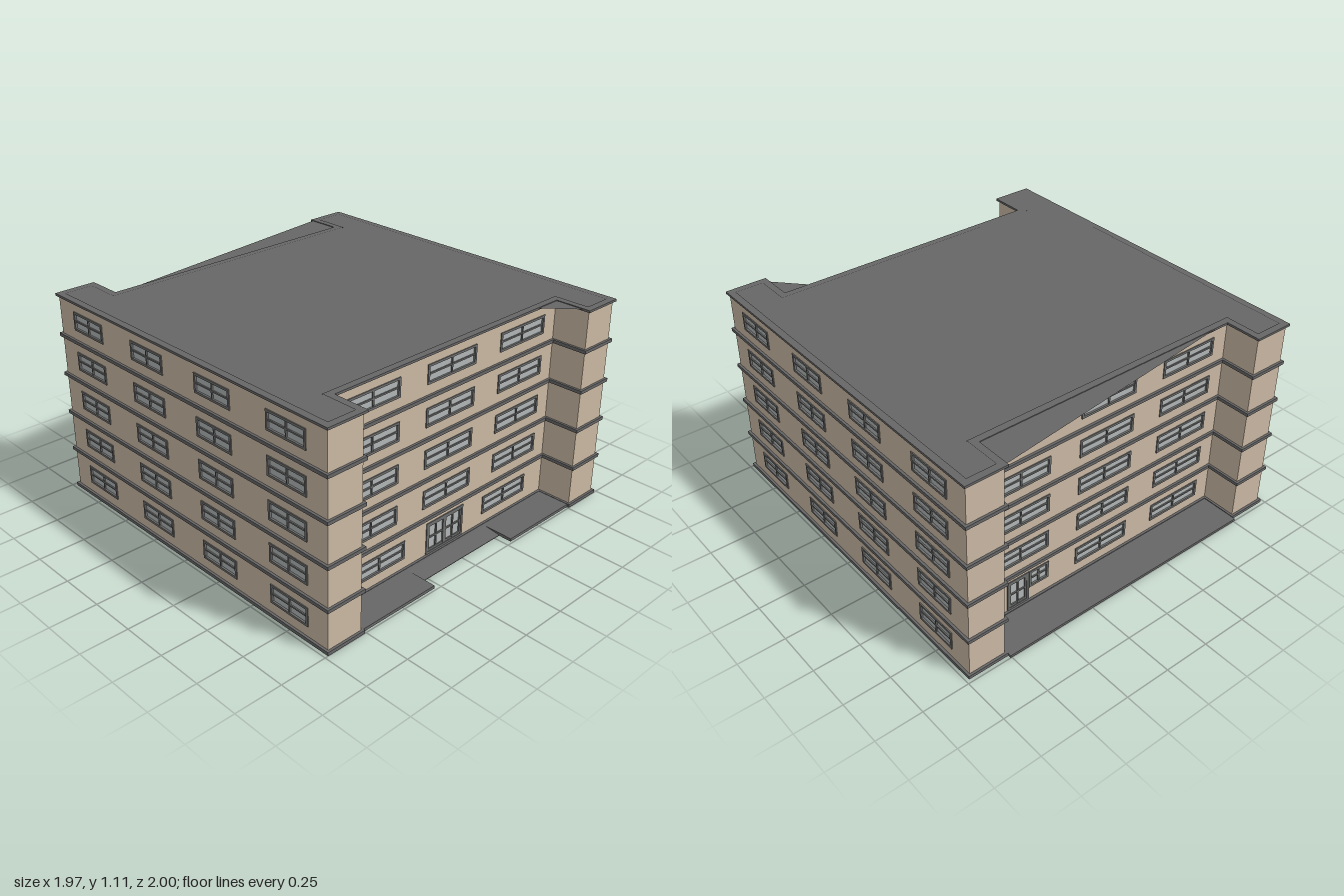
import * as THREE from 'three';

const mat = (color, side = THREE.FrontSide) => new THREE.MeshStandardMaterial({ color, side, flatShading: true });
const wallMat = mat(0xcbb9a4);
const trimMat = mat(0x666666);
const slabMat = mat(0x666666, THREE.DoubleSide);
const frameMat = mat(0x6c6e6c);
const glassMat = mat(0xb2b6b6);

const HEIGHT = 1.105, STOREY = 0.22, THICK = 0.015;

function add(parent, name, geometry, material) {
  const mesh = new THREE.Mesh(geometry, material);
  mesh.name = name;
  parent.add(mesh);
  return mesh;
}

function box(parent, name, material, w, h, d, x, y, z) {
  const mesh = add(parent, name, new THREE.BoxGeometry(w, h, d), material);
  mesh.position.set(x, y, z);
  return mesh;
}

// H-shaped plan, grown outward by d
function plan(d) {
  const X = 0.97 + d, Z = 0.978 + d, x = 0.77 - d, z = 0.782 + d;
  return [[-X, Z], [-x, Z], [-x, z], [x, z], [x, Z], [X, Z],
    [X, -Z], [x, -Z], [x, -z], [-x, -z], [-x, -Z], [-X, -Z]].map(p => new THREE.Vector2(...p));
}

function rectPath(cx, cy, w, h, Type) {
  const p = new Type();
  p.moveTo(cx - w / 2, cy - h / 2);
  p.lineTo(cx + w / 2, cy - h / 2);
  p.lineTo(cx + w / 2, cy + h / 2);
  p.lineTo(cx - w / 2, cy + h / 2);
  p.closePath();
  return p;
}

// Horizontal ring that runs round the plan
function band(parent, name, bottom, height) {
  const shape = new THREE.Shape(plan(0.013));
  shape.holes.push(new THREE.Path(plan(-0.024)));
  const g = new THREE.ExtrudeGeometry(shape, { depth: height, bevelEnabled: false });
  g.rotateX(Math.PI / 2).translate(0, bottom + height, 0);
  add(parent, name, g, trimMat);
}

// Frame, glass and glazing bars, centred on the wall's outer face
function opening(parent, o) {
  const group = new THREE.Group();
  group.name = o.name;
  group.position.set(o.s, o.y, 0);
  const f = 0.012, w = o.w - 2 * f, h = o.h - 2 * f;
  const shape = rectPath(0, 0, o.w, o.h, THREE.Shape);
  shape.holes.push(rectPath(0, 0, w, h, THREE.Path));
  const g = new THREE.ExtrudeGeometry(shape, { depth: THICK + 0.005, bevelEnabled: false });
  add(group, 'frame', g.translate(0, 0, -THICK), frameMat);
  box(group, 'glass', glassMat, w, h, 0.006, 0, 0, -0.008);
  for (let i = 1; i < o.cols; i++) {
    const middle = o.cols === 4 && i === 2;
    box(group, 'uprightBar', frameMat, middle ? 0.022 : 0.008, h, 0.008, w * (i / o.cols - 0.5), 0, -0.002);
  }
  for (let i = 1; i < o.rows; i++) {
    box(group, 'crossBar', frameMat, w, 0.008, 0.007, 0, h * (i / o.rows - 0.5), -0.002);
  }
  if (o.name === 'door') {
    for (const s of [-1, 1]) {
      box(group, 'doorStile', frameMat, 0.01, h, 0.008, s * (w / 2 - 0.005), 0, -0.002);
      box(group, 'doorRail', frameMat, w, 0.012, 0.007, 0, s * (h / 2 - 0.006), -0.002);
    }
  }
  parent.add(group);
}

// Wall from plan point a to b, its outer face to the right of the path
function wall(parent, name, a, b, openings) {
  const length = a.distanceTo(b);
  const group = new THREE.Group();
  group.name = name;
  group.position.set((a.x + b.x) / 2, 0, (a.y + b.y) / 2);
  group.rotation.y = Math.atan2(a.y - b.y, b.x - a.x);
  const shape = rectPath(0, HEIGHT / 2, length, HEIGHT, THREE.Shape);
  for (const o of openings) shape.holes.push(rectPath(o.s, o.y, o.w, o.h, THREE.Path));
  const g = new THREE.ExtrudeGeometry(shape, { depth: THICK, bevelEnabled: false });
  add(group, 'wallPanel', g.translate(0, 0, -THICK), wallMat);
  for (const o of openings) opening(group, o);
  parent.add(group);
}

const win = (s, floor, w) => ({ name: 'window', s, y: 0.123 + STOREY * floor, w, h: 0.1, cols: 2, rows: 2 });
const door = (s, w, cols) => ({ name: 'door', s, y: 0.109, w, h: 0.176, cols, rows: 2 });

export function createModel() {
  const model = new THREE.Group();
  model.name = 'apartmentBuilding';
  const building = new THREE.Group();
  building.name = 'building';
  building.position.z = 0.009;
  model.add(building);

  // Windows and doors of each long wall
  const front = [door(0, 0.266, 4), win(-0.455, 0, 0.337), win(0.455, 0, 0.337)];
  const back = [door(-0.53, 0.13, 2), { ...win(-0.402, 0, 0.12), y: 0.145 },
    win(0, 0, 0.337), win(0.515, 0, 0.337)];
  const sides = [];
  for (let floor = 0; floor < 5; floor++) {
    if (floor > 0) for (const s of [-0.515, 0, 0.515]) {
      front.push(win(s, floor, 0.337));
      back.push(win(s, floor, 0.337));
    }
    for (const s of [-0.729, -0.243, 0.243, 0.729]) sides.push(win(s, floor, 0.247));
  }

  // Walls round the plan
  const corners = plan(0);
  const main = { 2: ['frontWall', front], 5: ['sideWall', sides], 8: ['backWall', back], 11: ['sideWall', sides] };
  corners.forEach((a, i) => {
    const [name, openings] = main[i] || ['wingWall', []];
    wall(building, name, a, corners[(i + 1) % corners.length], openings);
  });

  // Floor bands and roof rim
  for (let i = 0; i < 5; i++) band(building, 'floorBand', STOREY * i + (i ? 0.002 : 0), 0.018);
  band(building, 'roofRim', 1.101, 0.012);

  // Flat roof with its two corner canopies
  const flat = (name, points) => {
    const g = new THREE.ShapeGeometry(new THREE.Shape(points.map(p => new THREE.Vector2(p.x, -p.y))));
    add(building, name, g.rotateX(-Math.PI / 2).translate(0, 1.109, 0), slabMat);
  };
  const V = (x, z) => new THREE.Vector2(x, z);
  flat('roof', corners);
  flat('backCanopy', [V(-0.77, -0.782), V(0.77, -0.782), V(0.77, -0.978)]);
  flat('frontCanopy', [V(0.6, 0.782), V(0.77, 0.782), V(0.77, 0.965)]);

  // Ground slabs in the two recesses
  box(model, 'backTerrace', trimMat, 1.514, 0.014, 0.23, 0, 0.007, -0.885);
  for (const s of [-1, 1]) {
    box(model, 'frontTerrace', trimMat, 0.472, 0.016, 0.207, s * 0.521, 0.008, 0.8845);
  }

  // Entrance ramp
  const ramp = new THREE.Shape([V(0.78, 0), V(0.915, 0), V(0.915, 0.003), V(0.82, 0.016), V(0.78, 0.016)]);
  const rampGeometry = new THREE.ExtrudeGeometry(ramp, { depth: 0.57, bevelEnabled: false });
  add(model, 'entranceRamp', rampGeometry.rotateY(-Math.PI / 2).translate(0.285, 0, 0), trimMat);
  return model;
}
